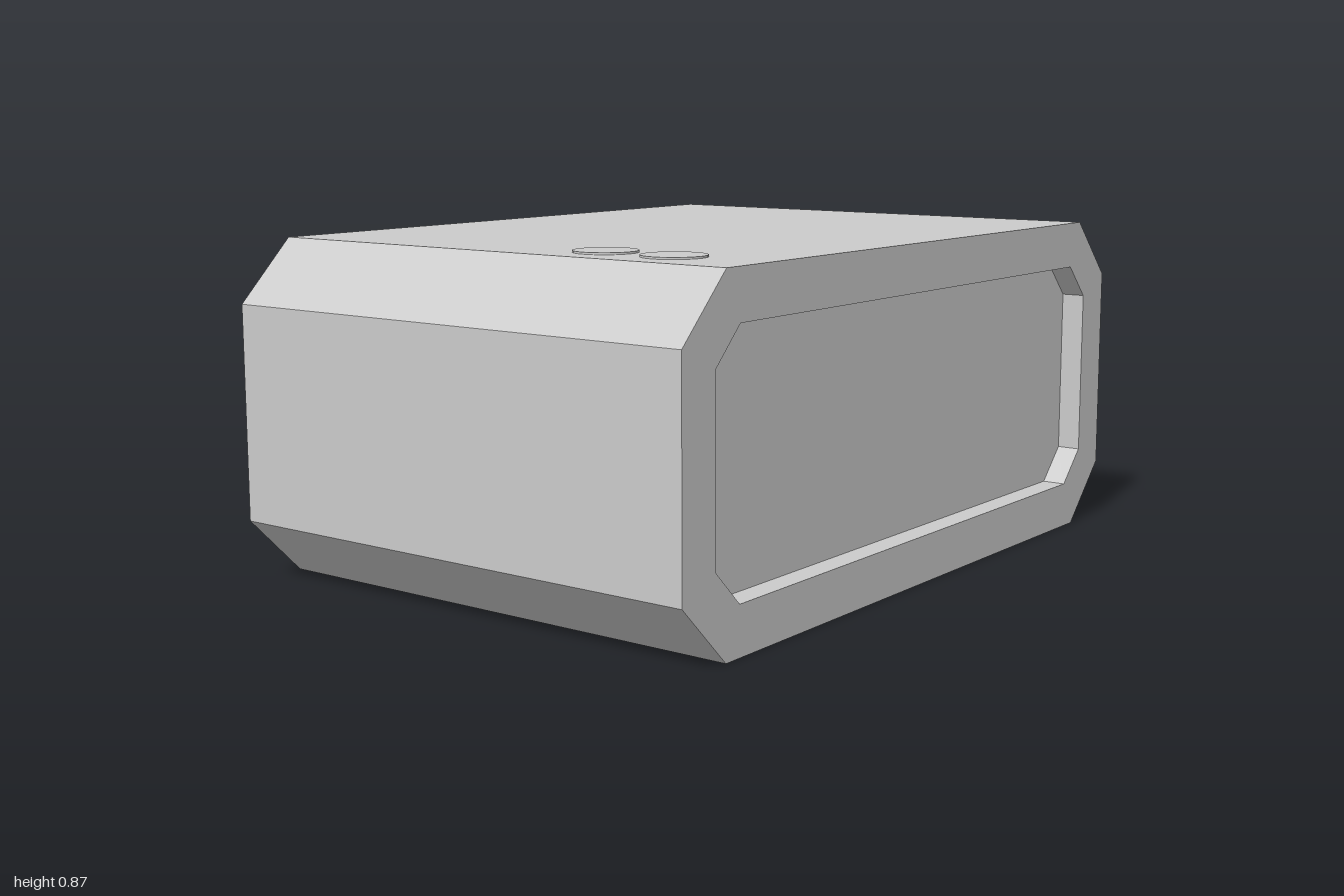
import * as THREE from 'three';

const W = 1, H = 0.865, D = 0.687; // half width, body height, half depth
const material = new THREE.MeshStandardMaterial({ color: 0xcccccc });

// Rectangle with cut corners, counter-clockwise as seen from the front
function octagon(hw, hh, cut, z) {
  const cy = H / 2, x = hw - cut, y = hh - cut;
  return [[-x, -hh], [x, -hh], [hw, -y], [hw, y], [x, hh], [-x, hh], [-hw, y], [-hw, -y]]
    .map(([px, py]) => new THREE.Vector3(px, cy + py, z));
}

// Flat-faced skin through a series of loops, closed at both ends
function loft(loops) {
  const points = [];
  const n = loops[0].length;
  for (let k = 0; k < loops.length - 1; k++) {
    const a = loops[k], b = loops[k + 1];
    for (let i = 0; i < n; i++) {
      const j = (i + 1) % n;
      points.push(a[i], a[j], b[j], a[i], b[j], b[i]);
    }
  }
  const first = loops[0], last = loops[loops.length - 1];
  for (let i = 1; i < n - 1; i++) {
    points.push(first[0], first[i + 1], first[i]);
    points.push(last[0], last[i], last[i + 1]);
  }
  const geometry = new THREE.BufferGeometry().setFromPoints(points);
  geometry.computeVertexNormals();
  return geometry;
}

export function createModel() {
  const model = new THREE.Group();
  model.name = 'desktopCase';

  // Chamfered case: back, outer walls, front rim, then the recessed front panel
  const body = new THREE.Mesh(loft([
    octagon(W, H / 2, 0.157, -D),
    octagon(W, H / 2, 0.157, D),
    octagon(0.88, 0.31, 0.088, D),
    octagon(0.88, 0.31, 0.088, D - 0.063),
  ]), material);
  body.name = 'caseWithRecessedFront';
  model.add(body);

  // Two low round buttons on top, set into the case
  const buttonGeometry = new THREE.CylinderGeometry(0.078, 0.078, 0.015, 32);
  [0.437, 0.238].forEach((z, i) => {
    const button = new THREE.Mesh(buttonGeometry, material);
    button.name = i === 0 ? 'frontButton' : 'rearButton';
    button.position.set(-0.7, H - 0.0025, z);
    model.add(button);
  });

  return model;
}
